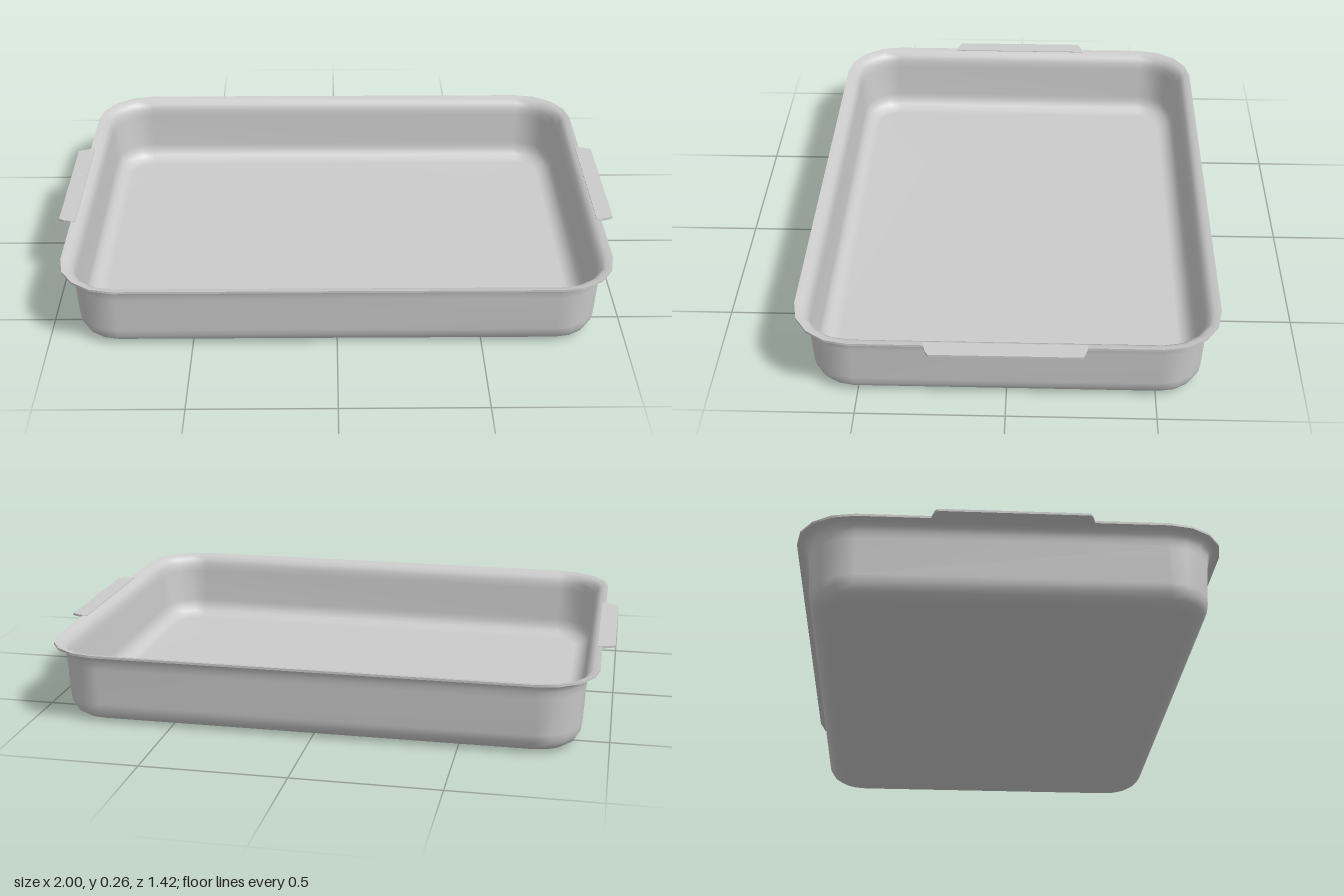
import * as THREE from 'three';

const HALF_X = 0.955, HALF_Z = 0.712, CORNER = 0.2, SEGMENTS = 4;
const RIM_LOW = 0.257, RIM_TOP = 0.265;

// Rounded rectangle at height y, inset from the rim outline
function ring(inset, y) {
  const r = CORNER - inset, points = [];
  for (let q = 0; q < 4; q++) {
    const sx = q === 0 || q === 3 ? 1 : -1, sz = q < 2 ? 1 : -1;
    for (let i = 0; i <= SEGMENTS; i++) {
      const a = (q + i / SEGMENTS) * Math.PI / 2;
      points.push([
        sx * (HALF_X - CORNER) + r * Math.cos(a), y,
        sz * (HALF_Z - CORNER) + r * Math.sin(a),
      ]);
    }
  }
  return points;
}

// Skin a stack of rings, optionally closing the bottom; inward flips the faces
function loft(profile, { floor = false, inward = false } = {}) {
  const n = 4 * (SEGMENTS + 1), index = [];
  const positions = profile.flatMap(([inset, y]) => ring(inset, y)).flat();
  const face = (a, b, c) => index.push(...(inward ? [a, c, b] : [a, b, c]));
  for (let i = 0; i < profile.length - 1; i++) {
    for (let j = 0; j < n; j++) {
      const a = i * n + j, c = i * n + (j + 1) % n;
      face(a, a + n, c);
      face(c, a + n, c + n);
    }
  }
  if (floor) {
    const centre = positions.length / 3;
    positions.push(0, profile[0][1], 0);
    for (let j = 0; j < n; j++) face(centre, j, (j + 1) % n);
  }
  const geometry = new THREE.BufferGeometry();
  geometry.setAttribute('position', new THREE.Float32BufferAttribute(positions, 3));
  geometry.setIndex(index);
  geometry.computeVertexNormals();
  return geometry;
}

export function createModel() {
  const group = new THREE.Group();
  group.name = 'bakingTray';
  const material = new THREE.MeshStandardMaterial({ color: 0xcccccc });
  const add = (name, geometry) => {
    const mesh = new THREE.Mesh(geometry, material);
    mesh.name = name;
    group.add(mesh);
    return mesh;
  };

  // Outside of the pan: floor, rounded foot, wall and flared rim
  add('outerShell', loft([
    [0.115, 0], [0.09, 0.006], [0.068, 0.021], [0.055, 0.042], [0.05, 0.07],
    [0.043, 0.2], [0.04, 0.225], [0.033, 0.243], [0.02, 0.253], [0, RIM_LOW],
  ], { floor: true }));

  // Inside of the pan, one sheet thickness further in
  add('innerShell', loft([
    [0.118, 0.008], [0.095, 0.014], [0.075, 0.028], [0.063, 0.047], [0.058, 0.072],
    [0.051, 0.2], [0.048, 0.228], [0.039, 0.249], [0.022, 0.261], [0, RIM_TOP],
  ], { floor: true, inward: true }));

  // Thin edge around the rim
  add('rimEdge', loft([[0, RIM_LOW], [0, RIM_TOP]]));

  // Flat grip tab on each short side
  const tab = new THREE.Shape([
    [0.94, -0.268], [0.955, -0.266], [0.985, -0.257], [1, -0.248],
    [1, 0.248], [0.985, 0.257], [0.955, 0.266], [0.94, 0.268],
  ].map(([x, z]) => new THREE.Vector2(x, z)));
  const tabGeometry = new THREE.ExtrudeGeometry(tab, { depth: RIM_TOP - RIM_LOW, bevelEnabled: false });
  tabGeometry.rotateX(-Math.PI / 2).translate(0, RIM_LOW, 0);
  add('leftHandle', tabGeometry);
  add('rightHandle', tabGeometry).rotation.y = Math.PI;

  return group;
}
